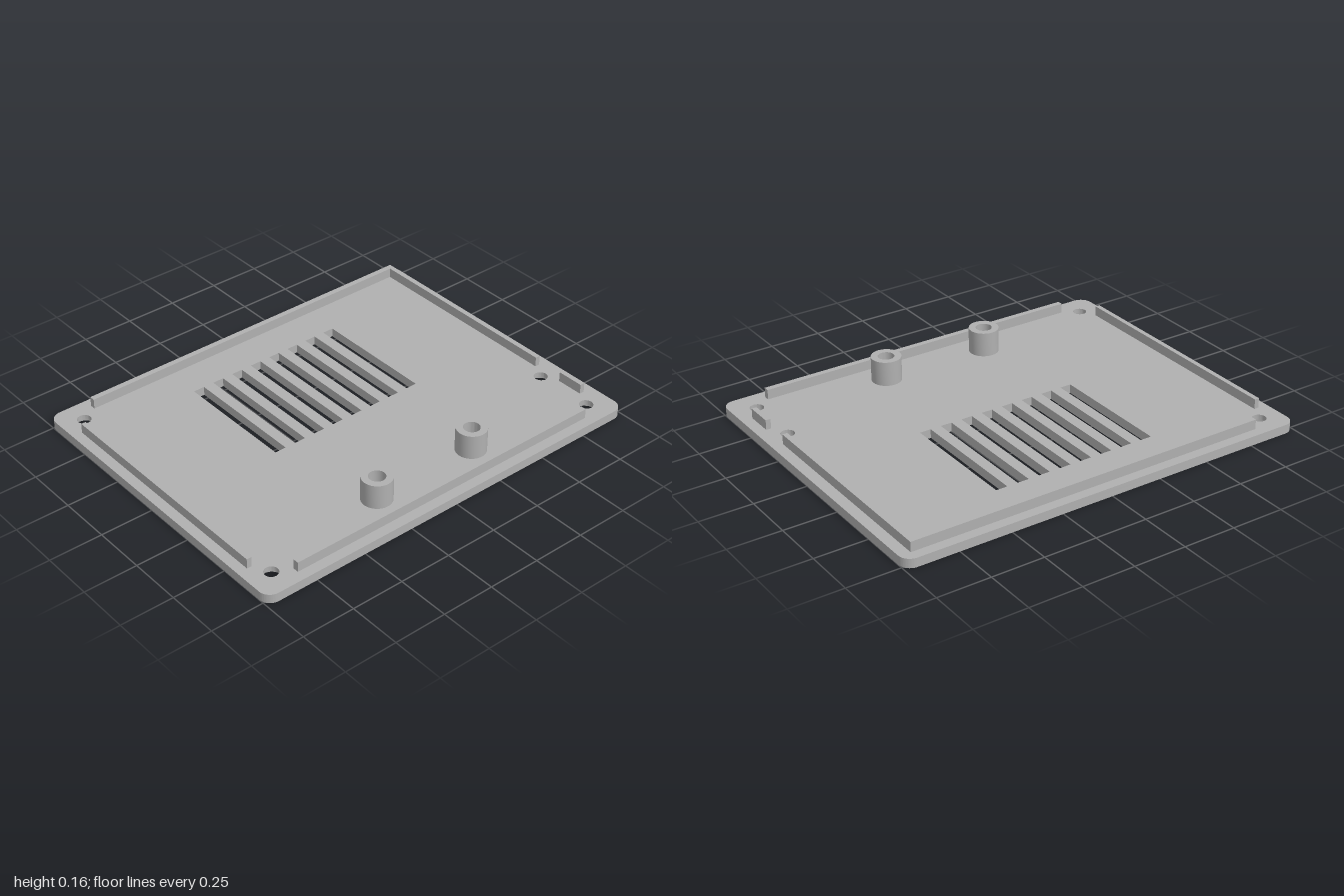
import * as THREE from 'three';
import { toCreasedNormals } from 'three/addons/utils/BufferGeometryUtils.js';

const PLATE = 0.043, STEP = 0.02, RAIL_TOP = 0.09, POST_TOP = 0.16;

// Outline in plan (shape x, y = model x, z), filled from y0 up to y1
function slab(shape, y0, y1) {
  const g = new THREE.ExtrudeGeometry(shape, { depth: y1 - y0, bevelEnabled: false, curveSegments: 16 });
  g.rotateX(Math.PI / 2).translate(0, y1, 0);
  return toCreasedNormals(g, 0.6);
}

function circle(x, z, r, Type = THREE.Path) {
  return new Type().absarc(x, z, r, 0, Math.PI * 2, false);
}

// Rounded plate with vent slots and four screw holes
function plateShape(holeRadius) {
  const w = 1, d = 0.78, r = 0.055, s = new THREE.Shape();
  s.absarc(w - r, d - r, r, 0, Math.PI / 2);
  s.absarc(-w + r, d - r, r, Math.PI / 2, Math.PI);
  s.absarc(-w + r, -d + r, r, Math.PI, Math.PI * 1.5);
  s.absarc(w - r, -d + r, r, Math.PI * 1.5, Math.PI * 2);
  s.closePath();
  for (const [x, z] of [[-0.89, -0.667], [-0.89, 0.663], [0.885, 0.663], [0.885, 0.378]]) {
    s.holes.push(circle(x, z, holeRadius));
  }
  for (let i = 0; i < 8; i++) {
    const x = -0.394 + i * 0.107, x2 = x + 0.055;
    s.holes.push(new THREE.Path([[x, -0.53], [x2, -0.53], [x2, 0.06], [x, 0.06], [x, -0.53]]
      .map(p => new THREE.Vector2(...p))));
  }
  return s;
}

export function createModel() {
  const model = new THREE.Group();
  model.name = 'enclosureLid';
  const grey = new THREE.MeshStandardMaterial({ color: 0xb0b0b0 });
  grey.name = 'grey plastic';
  const add = (name, geometry) => {
    const mesh = new THREE.Mesh(geometry, grey);
    mesh.name = name;
    model.add(mesh);
  };

  // Plate in two layers: the holes are wider underneath for the screw heads
  add('plateBottom', slab(plateShape(0.05), 0, STEP));
  add('plateTop', slab(plateShape(0.032), STEP, PLATE));

  // Locating rails: x0, x1, z0, z1
  const rails = {
    backRail: [-0.81, 0.947, -0.733, -0.706],
    frontRail: [-0.81, 0.807, 0.704, 0.731],
    rightRail: [-0.952, -0.929, -0.59, 0.587],
    leftRail: [0.923, 0.947, -0.706, 0.305],
    leftShortRail: [0.923, 0.947, 0.457, 0.587],
  };
  for (const [name, [x0, x1, z0, z1]] of Object.entries(rails)) {
    const g = new THREE.BoxGeometry(x1 - x0, RAIL_TOP - PLATE, z1 - z0);
    add(name, g.translate((x0 + x1) / 2, (RAIL_TOP + PLATE) / 2, (z0 + z1) / 2));
  }

  // Hollow mounting posts
  for (const [name, x] of [['rightPost', -0.267], ['leftPost', 0.265]]) {
    const s = circle(x, 0.577, 0.07, THREE.Shape);
    s.holes.push(circle(x, 0.577, 0.038));
    add(name, slab(s, PLATE, POST_TOP));
  }
  return model;
}
